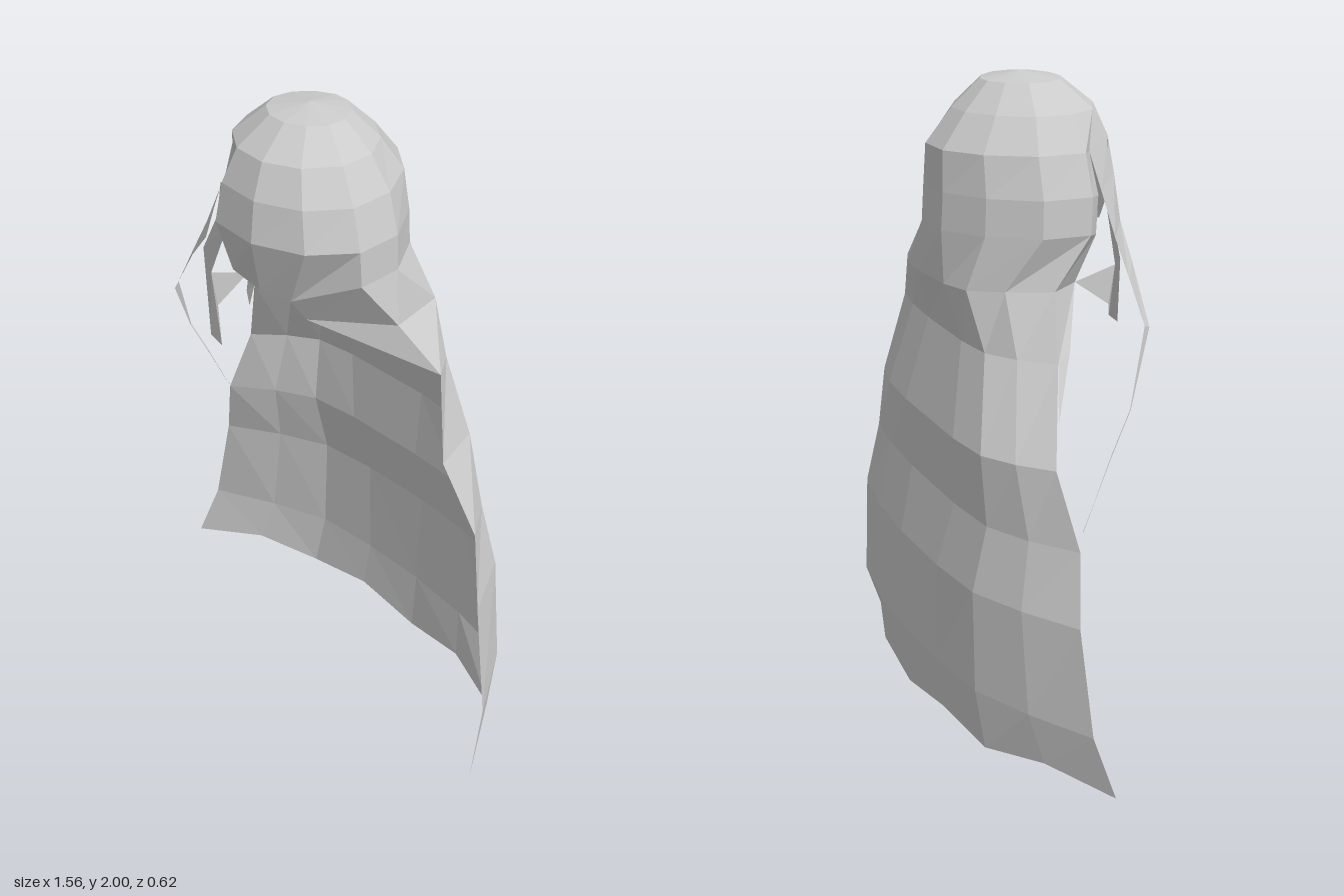
import * as THREE from 'three';

const material = new THREE.MeshStandardMaterial({ color: 0xcccccc, flatShading: true, side: THREE.DoubleSide });

// Mesh from rows of points; skip(row, col) leaves openings
function sheet(name, rows, skip = () => false) {
  const pos = [];
  for (let r = 0; r < rows.length - 1; r++) {
    for (let c = 0; c < rows[r].length - 1; c++) {
      if (skip(r, c)) continue;
      const a = rows[r][c], b = rows[r][c + 1], d = rows[r + 1][c], e = rows[r + 1][c + 1];
      pos.push(...a, ...d, ...b, ...b, ...d, ...e);
    }
  }
  const g = new THREE.BufferGeometry();
  g.setAttribute('position', new THREE.Float32BufferAttribute(pos, 3));
  g.computeVertexNormals();
  const mesh = new THREE.Mesh(g, material);
  mesh.name = name;
  return mesh;
}

const lerp = THREE.MathUtils.lerp;

// Ring of 12 points round the head, starting just right of the front centre; the back is narrower
function ring([y, rx, front, back]) {
  return Array.from({ length: 13 }, (_, i) => {
    const a = THREE.MathUtils.degToRad(-15 + 30 * i), c = Math.cos(a);
    const width = rx * (1 + 0.2 * Math.min(c, 0));
    return [-0.025 + width * Math.sin(a), y, 0.035 + c * (c > 0 ? front : back)];
  });
}

// Column spacing and depth of the long back hair, from left to right
const spread = [1, 0.77, 0.46, 0.15, -0.17, -0.47, -0.73, -1];
const depth = [0, 0.8, 0.95, 1, 0.97, 0.86, 0.5, 0];

function backRow([yL, yR, xL, xR, zL, zR, zBack, power]) {
  return spread.map((s, i) => {
    const u = Math.sign(s) * Math.abs(s) ** power;
    const t = (1 - u) / 2;
    return [lerp(xL, xR, t), lerp(yL, yR, t), lerp(lerp(zL, zR, t), zBack, depth[i])];
  });
}

export function createModel() {
  const group = new THREE.Group();
  group.name = 'hair';

  // Domed cap: height, half width, front and back reach
  const cap = [
    [2.0, 0, 0, 0], [1.98, 0.13, 0.12, 0.12], [1.9, 0.225, 0.22, 0.205], [1.8, 0.288, 0.265, 0.285],
    [1.68, 0.326, 0.285, 0.29], [1.57, 0.328, 0.265, 0.297],
  ].map(ring);
  // Lower edge of the fringe
  const rim = cap[5];
  rim[0] = rim[12] = [-0.06, 1.54, 0.29];
  rim[1] = [0.04, 1.51, 0.27];
  rim[2] = [0.12, 1.49, 0.22];
  // The right temple is drawn in behind the long lock
  cap[3][11] = [-0.24, 1.79, 0.15];
  cap[4][11] = [-0.28, 1.67, 0.16];
  rim[11] = [-0.27, 1.55, 0.16];
  // The right of the face is left open beneath the parting
  group.add(sheet('cap', cap, (r, c) => r >= 3 && c === 11));

  // Long hair falling behind, starting from the back of the cap
  const back = [
    [1.41, 1.41, 0.31, -0.32, -0.02, 0.0, -0.255, 0.7],
    [1.26, 1.22, 0.41, -0.4, -0.1, -0.03, -0.205, 0.7],
    [1.0, 0.95, 0.48, -0.525, -0.06, -0.1, -0.275, 0.6],
    [0.78, 0.72, 0.59, -0.6, -0.1, -0.06, -0.258, 0.75],
    [0.57, 0.51, 0.67, -0.66, -0.05, -0.09, -0.305, 0.9],
    [0.22, 0.19, 0.74, -0.73, -0.03, -0.08, -0.305, 1],
    [0, 0, 0.78, -0.78, 0.05, -0.03, -0.29, 1],
  ].map(backRow);
  const hem = [0.02, 0.055, 0.05, 0.01, 0.04, 0.01, 0.04, 0.005];
  back[6].forEach((p, i) => { p[1] = hem[i]; });
  // The left of the hem curls forward
  back[6][1][2] = -0.19;
  group.add(sheet('backHair', [rim.slice(3, 11), ...back]));

  // Side hair folding in under the jaw on both sides
  const leftChin = [0.12, 1.41, 0.165], rightChin = [-0.22, 1.4, 0.12];
  group.add(sheet('leftSideHair', [
    [rim[2], rim[3]], [leftChin, back[0][0]], [back[1][0], back[1][0]],
  ]));
  group.add(sheet('rightSideHair', [
    [rim[10], rim[11]], [back[0][7], rightChin],
    [back[1][7], [-0.36, 1.24, 0.03]], [[-0.5, 1.08, -0.08], [-0.5, 1.08, -0.08]],
  ]));

  // Short lock hanging beside the face, and the hair joining it to the side
  const lockTip = [-0.13, 1.25, 0.29], lockEdge = [-0.23, 1.44, 0.25];
  group.add(sheet('shortLock', [
    [[-0.12, 1.79, 0.28], [-0.1, 1.79, 0.28]],
    [[-0.2, 1.64, 0.24], [-0.1, 1.65, 0.28]],
    [[-0.31, 1.48, 0.22], lockEdge],
    [[-0.2, 1.25, 0.28], lockTip],
  ]));
  group.add(sheet('shortLockRoot', [
    [rightChin, lockEdge], [[-0.23, 1.32, 0.23], lockTip],
  ]));

  // Long broad lock sweeping out from the parting and thinning to a wisp
  group.add(sheet('longLock', [
    [cap[3][11], cap[3][12]],
    [[-0.28, 1.68, 0.17], [-0.15, 1.7, 0.285]],
    [[-0.33, 1.55, 0.19], [-0.22, 1.57, 0.27]],
    [[-0.38, 1.44, 0.21], [-0.31, 1.47, 0.26]],
    [[-0.44, 1.31, 0.23], [-0.425, 1.3, 0.255]],
    [[-0.511, 1.09, 0.145], [-0.508, 1.09, 0.15]],
    [[-0.525, 0.97, 0.08], [-0.522, 0.97, 0.085]],
    [[-0.56, 0.76, -0.03], [-0.558, 0.76, -0.03]],
  ]));

  return group;
}
